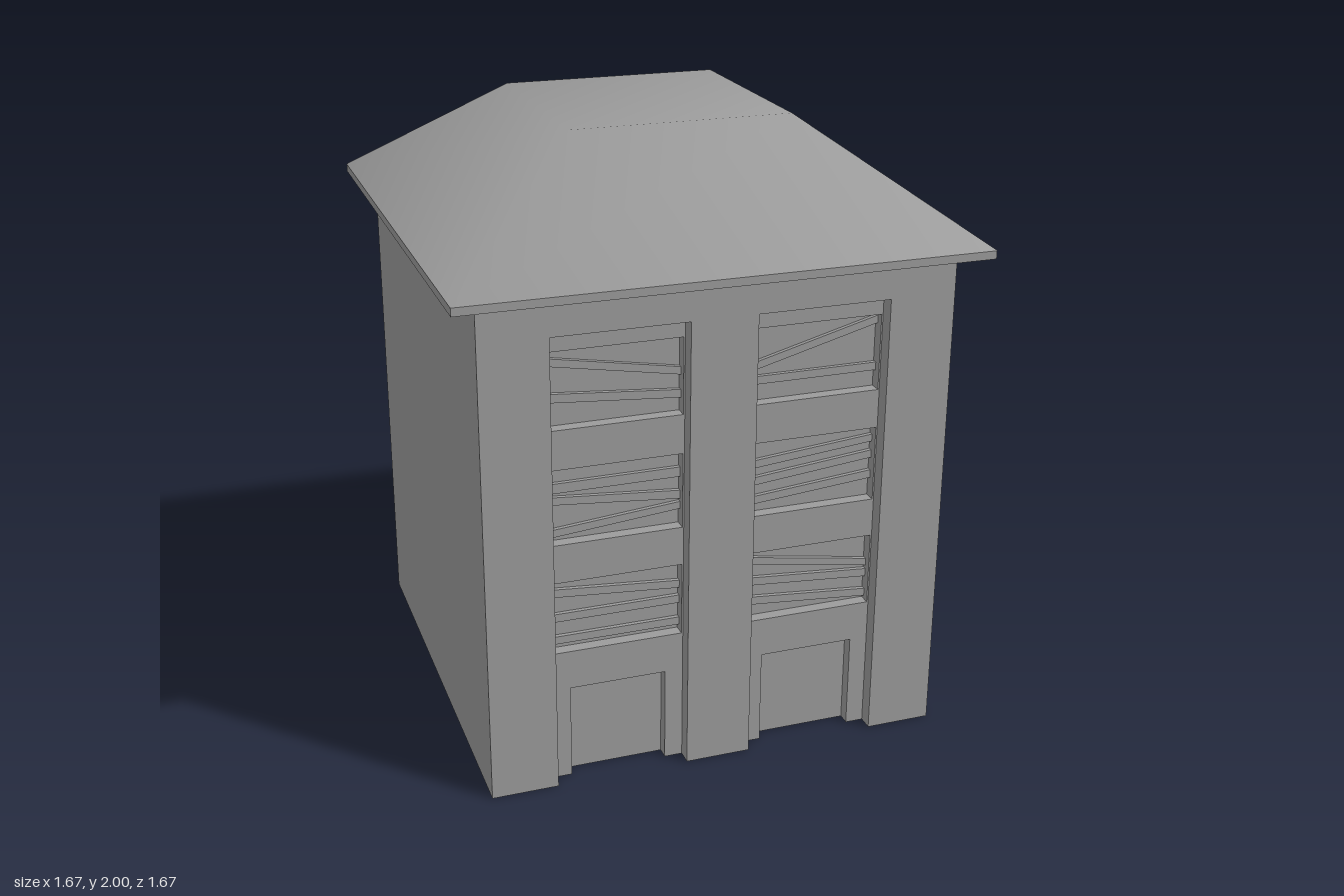
import * as THREE from 'three';

const HALF = 0.75, WALL_H = 1.63, PANEL_Z = 0.70, BACK_Z = 0.66;
const BAY_X = 0.321, BAY_W = 0.429, BAY_H = 1.5;
const WIN_W = 0.42, DOOR_W = 0.312, DOOR_H = 0.315;
const WINDOWS = [[1.19, 1.437], [0.815, 1.062], [0.445, 0.687]];
const BOARD_OVERLAP = 0.035;

const mat = new THREE.MeshStandardMaterial({ color: 0x9b9b9b, side: THREE.DoubleSide });

// Boards per facade > bay > window: top and bottom height at the left end, then at the right end
const FRONT = [
  [
    [[1.41, 1.385, 1.335, 1.31], [1.298, 1.27, 1.262, 1.236]],
    [[1.008, 0.976, 1.008, 0.976], [0.965, 0.94, 0.93, 0.902], [0.855, 0.83, 0.892, 0.868]],
    [[0.655, 0.628, 0.62, 0.594], [0.568, 0.541, 0.568, 0.541], [0.49, 0.464, 0.49, 0.464]],
  ],
  [
    [[1.315, 1.29, 1.427, 1.402], [1.273, 1.247, 1.273, 1.247]],
    [[0.992, 0.966, 1.03, 1.006], [0.934, 0.908, 0.976, 0.95], [0.87, 0.844, 0.907, 0.88]],
    [[0.663, 0.637, 0.592, 0.568], [0.589, 0.562, 0.555, 0.528], [0.52, 0.493, 0.483, 0.457]],
  ],
];
const SIDE = [
  [
    [[1.41, 1.383, 1.218, 1.192], [1.179, 1.148, 1.477, 1.451]],
    [[1.018, 0.992, 1.018, 0.992], [0.976, 0.952, 0.942, 0.917], [0.87, 0.845, 0.908, 0.883]],
    [[0.62, 0.594, 0.655, 0.63], [0.544, 0.516, 0.626, 0.596], [0.508, 0.483, 0.508, 0.483]],
  ],
  [
    [[1.4, 1.374, 1.368, 1.342], [1.252, 1.225, 1.326, 1.3]],
    [[1.045, 1.02, 1.01, 0.985], [0.966, 0.942, 0.966, 0.942], [0.923, 0.897, 0.89, 0.865]],
    [[0.642, 0.62, 0.642, 0.62], [0.605, 0.578, 0.568, 0.542], [0.515, 0.49, 0.515, 0.49]],
  ],
];

function add(parent, name, geometry) {
  const mesh = new THREE.Mesh(geometry, mat);
  mesh.name = name;
  parent.add(mesh);
  return mesh;
}

const polygon = (pts) => pts.map(([x, y]) => new THREE.Vector2(x, y));

const rect = (cx, w, y0, y1) => [
  [cx - w / 2, y0], [cx + w / 2, y0], [cx + w / 2, y1], [cx - w / 2, y1],
];

// Three sides of an opening that reaches the ground, from its right foot to its left foot
const arch = (cx, w, h) => rect(cx, w, 0, h).slice(1).concat([[cx - w / 2, 0]]);

function sheet(parent, name, pts, z, holes = []) {
  const shape = new THREE.Shape(polygon(pts));
  for (const h of holes) shape.holes.push(new THREE.Path(polygon(h)));
  add(parent, name, new THREE.ShapeGeometry(shape)).position.z = z;
}

// Walls of a recess along a polyline, facing the inside of the opening
function reveal(parent, name, pts, back, front) {
  const v = [];
  for (let i = 0; i < pts.length - 1; i++) {
    const a = pts[i], b = pts[i + 1];
    v.push(...a, back, ...a, front, ...b, back, ...a, front, ...b, front, ...b, back);
  }
  const g = new THREE.BufferGeometry();
  g.setAttribute('position', new THREE.Float32BufferAttribute(v, 3));
  g.computeVertexNormals();
  add(parent, name, g);
}

// Thin board across a window, its ends running on behind the panel
function board(parent, cx, [lt, lb, rt, rb]) {
  const k = BOARD_OVERLAP / WIN_W, dt = (rt - lt) * k, db = (rb - lb) * k;
  const x = WIN_W / 2 + BOARD_OVERLAP;
  const shape = new THREE.Shape(polygon([
    [cx - x, lb - db], [cx + x, rb + db], [cx + x, rt + dt], [cx - x, lt - dt],
  ]));
  const g = new THREE.ExtrudeGeometry(shape, { depth: 0.014, bevelEnabled: false });
  add(parent, 'windowBoard', g).position.z = BACK_Z + 0.002;
}

function bay(cx, windows) {
  const g = new THREE.Group();
  g.name = 'bay';
  const door = arch(cx, DOOR_W, DOOR_H);
  const openings = WINDOWS.map(([y0, y1]) => rect(cx, WIN_W, y0, y1));

  // Recessed panel with the doorway cut from its foot
  const [r, l] = [cx + BAY_W / 2, cx - BAY_W / 2];
  const outline = [[l, 0], ...door.slice().reverse(), [r, 0], [r, BAY_H], [l, BAY_H]];
  sheet(g, 'bayPanel', outline, PANEL_Z, openings);
  reveal(g, 'bayReveal', arch(cx, BAY_W, BAY_H), PANEL_Z, HALF);

  // Doorway
  sheet(g, 'door', rect(cx, DOOR_W, 0, DOOR_H), BACK_Z);
  reveal(g, 'doorReveal', door, BACK_Z, PANEL_Z);

  // Boarded windows
  openings.forEach((o, i) => {
    sheet(g, 'windowBack', o, BACK_Z);
    reveal(g, 'windowReveal', [...o, o[0]], BACK_Z, PANEL_Z);
    for (const heights of windows[i]) board(g, cx, heights);
  });
  return g;
}

function facade(name, boards) {
  const g = new THREE.Group();
  g.name = name;
  const notches = [-BAY_X, BAY_X].flatMap((cx) => arch(cx, BAY_W, BAY_H).reverse());
  sheet(g, 'wall', [[-HALF, 0], ...notches, [HALF, 0], [HALF, WALL_H], [-HALF, WALL_H]], HALF);
  g.add(bay(-BAY_X, boards[0]), bay(BAY_X, boards[1]));
  return g;
}

// Truncated hip roof, softly shaded: each ring has its own outward tilt of the normals
function roofGeometry() {
  const v = [], n = [], corners = [[-1, 1], [1, 1], [1, -1], [-1, -1]];
  for (const [s, y, tilt] of [[0.835, 1.65, 0.366], [0.36, 2, 0.19]]) {
    for (const [x, z] of corners) {
      v.push(x * s, y, z * s);
      n.push(...new THREE.Vector3(x * tilt, 1, z * tilt).normalize().toArray());
    }
  }
  const index = [4, 5, 6, 4, 6, 7];
  for (let i = 0; i < 4; i++) {
    const j = (i + 1) % 4;
    index.push(i, j, j + 4, i, j + 4, i + 4);
  }
  const g = new THREE.BufferGeometry();
  g.setAttribute('position', new THREE.Float32BufferAttribute(v, 3));
  g.setAttribute('normal', new THREE.Float32BufferAttribute(n, 3));
  g.setIndex(index);
  return g;
}

export function createModel() {
  const model = new THREE.Group();
  model.name = 'building';

  // Two detailed facades
  const front = facade('frontFacade', FRONT);
  const side = facade('sideFacade', SIDE);
  side.rotation.y = Math.PI / 2;
  model.add(front, side);

  // Two plain walls; the base stays open
  for (const [name, turn] of [['backWall', Math.PI], ['plainSideWall', -Math.PI / 2]]) {
    const g = new THREE.Group();
    g.rotation.y = turn;
    sheet(g, name, rect(0, 2 * HALF, 0, WALL_H), HALF);
    model.add(g);
  }

  // Roof
  add(model, 'eaves', new THREE.BoxGeometry(1.67, 0.026, 1.67)).position.y = 1.636;
  add(model, 'roof', roofGeometry());
  return model;
}
